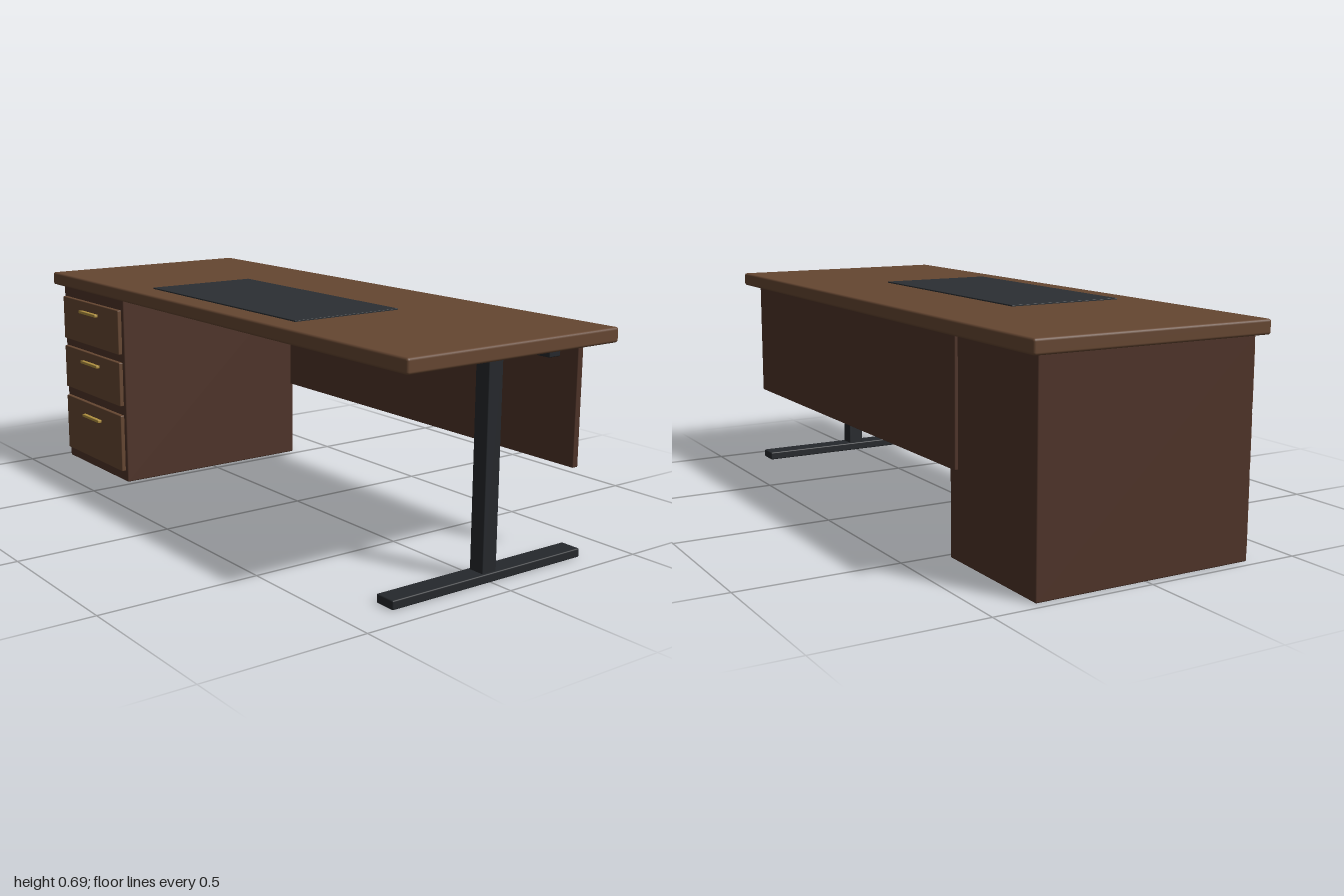
import * as THREE from 'three';
import { RoundedBoxGeometry } from 'three/addons/geometries/RoundedBoxGeometry.js';

const material = (color) => new THREE.MeshStandardMaterial({ color });

export function createModel() {
  const desk = new THREE.Group();
  desk.name = 'desk';
  const wood = material(0x654631);
  const darkWood = material(0x4e3328);
  const metal = material(0x25282c);
  const leather = material(0x2b2f33);
  const brass = material(0xb0903f);

  // Softly rounded box given by its extents along each axis
  function block(name, mat, [x0, x1], [y0, y1], [z0, z1], radius, parent = desk) {
    const geometry = new RoundedBoxGeometry(x1 - x0, y1 - y0, z1 - z0, 3, radius);
    const mesh = new THREE.Mesh(geometry, mat);
    mesh.position.set((x0 + x1) / 2, (y0 + y1) / 2, (z0 + z1) / 2);
    mesh.name = name;
    parent.add(mesh);
    return mesh;
  }

  // Top and writing pad
  block('desktop', wood, [-1, 1], [0.647, 0.691], [-0.385, 0.385], 0.008);
  block('deskPad', leather, [-0.408, 0.408], [0.689, 0.695], [-0.08, 0.3], 0.001);

  // Drawer cabinet
  const cabinet = new THREE.Group();
  cabinet.name = 'drawerCabinet';
  desk.add(cabinet);
  block('cabinetBody', darkWood, [-0.972, -0.524], [0, 0.647], [-0.354, 0.354], 0.004, cabinet);

  // Drawer fronts, each with a slim brass pull: bottom, top, handle height
  const drawers = [[0.037, 0.237, 0.188], [0.27, 0.424, 0.386], [0.452, 0.606, 0.568]];
  for (const [bottom, top, pull] of drawers) {
    block('drawerFront', wood, [-0.957, -0.539], [bottom, top], [0.352, 0.368], 0.003, cabinet);
    block('drawerHandle', brass, [-0.81, -0.686], [pull - 0.005, pull + 0.005], [0.367, 0.381], 0.002, cabinet);
  }

  // Modesty panel and support beam
  block('modestyPanel', darkWood, [-0.568, 0.892], [0.265, 0.648], [-0.364, -0.343], 0.003);
  block('supportBeam', metal, [-0.41, 0.87], [0.598, 0.642], [-0.294, -0.25], 0.003);

  // T-shaped metal leg
  const leg = new THREE.Group();
  leg.name = 'leg';
  desk.add(leg);
  block('legPost', metal, [0.863, 0.915], [0.02, 0.648], [-0.026, 0.026], 0.003, leg);
  block('legFoot', metal, [0.855, 0.923], [0, 0.027], [-0.354, 0.354], 0.004, leg);

  return desk;
}
